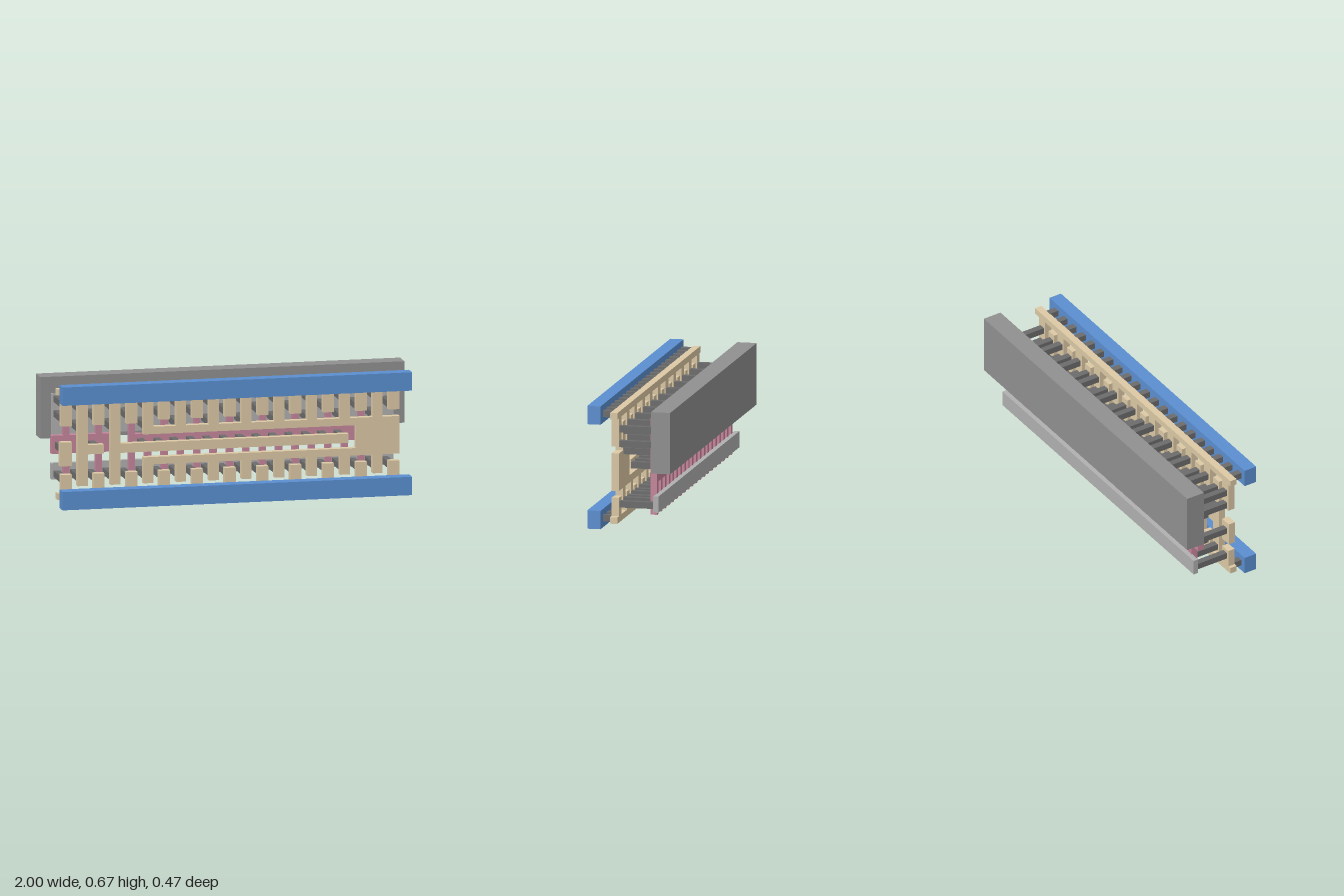
import * as THREE from 'three';

const paint = (color) => new THREE.MeshStandardMaterial({ color });

export function createModel() {
  const model = new THREE.Group();
  const blue = paint(0x5b8fd0), tan = paint(0xdcc9a6), pink = paint(0xc6869b);
  const dark = paint(0x6c6c6c), grey = paint(0x909090), light = paint(0xb0b0b0);

  const layer = (name) => {
    const g = new THREE.Group();
    g.name = name;
    model.add(g);
    return g;
  };
  // box given by its limits on each axis
  const slab = (parent, name, mat, x0, x1, y0, y1, z0, z1) => {
    const m = new THREE.Mesh(new THREE.BoxGeometry(x1 - x0, y1 - y0, z1 - z0), mat);
    m.position.set((x0 + x1) / 2, (y0 + y1) / 2, (z0 + z1) / 2);
    m.name = name;
    parent.add(m);
  };

  // base slabs at the back
  const base = layer('base');
  slab(base, 'backBlock', grey, -1, 1, 0.325, 0.66, -0.233, -0.127);
  slab(base, 'upperStrip', light, -0.94, 0.94, 0.345, 0.57, -0.153, -0.125);
  slab(base, 'lowerStrip', light, -0.94, 0.94, 0.1, 0.188, -0.153, -0.125);

  // comb of vertical gate fingers with their joining plates
  const gates = layer('gates');
  const gate = (name, x0, x1, y0, y1) => slab(gates, name, pink, x0, x1, y0, y1, -0.128, -0.091);
  for (let i = 0; i < 20; i++) {
    const x = -0.865 + i * 0.09;
    gate('gateFinger', x - 0.017, x + 0.017, 0.073, 0.597);
  }
  gate('firstGatePlate', -0.945, -0.758, 0.245, 0.345);
  gate('secondGatePlate', -0.748, -0.578, 0.245, 0.345);
  gate('mainGatePlate', -0.522, 0.862, 0.25, 0.335);

  // wiring plane, contacts behind it and vias in front of it
  const wiring = layer('wiring'), contacts = layer('contacts'), vias = layer('vias');
  const wire = (name, x0, x1, y0, y1) => slab(wiring, name, tan, x0, x1, y0, y1, 0.068, 0.108);
  const contact = (x, y, back = -0.126) =>
    slab(contacts, 'contact', dark, x - 0.0175, x + 0.0175, y - 0.0175, y + 0.0175, back, 0.07);

  wire('lowerSupply', -0.96, 0.96, 0.033, 0.068);
  wire('upperSupply', -0.96, 0.96, 0.602, 0.637);

  for (let i = 0; i <= 20; i++) {
    const x = -0.91 + i * 0.09;
    for (const y of [0.0505, 0.6195])
      slab(vias, 'via', dark, x - 0.0175, x + 0.0175, y - 0.0175, y + 0.0175, 0.106, 0.162);
    if (i % 2 === 0) {
      // supply teeth
      const end = i < 6 ? 0.432 : 0.447;
      wire('upperTooth', x - 0.03, x + 0.03, end, 0.602);
      wire('lowerTooth', x - 0.03, x + 0.03, 0.068, 0.168);
      [0.1305, 0.4595, 0.5405].forEach((y) => contact(x, y));
    } else {
      // output fingers: the first two are full columns
      if (i < 4) wire('column', x - 0.028, x + 0.028, 0.103, 0.567);
      else {
        wire('upperFinger', x - 0.027, x + 0.027, 0.41, 0.567);
        wire('lowerFinger', x - 0.027, x + 0.027, 0.103, 0.205);
      }
      [0.1345, 0.4045, 0.5155].forEach((y) => contact(x, y));
    }
  }

  // horizontal runs of the wiring
  wire('inputPad', -0.945, -0.88, 0.215, 0.345);
  wire('firstLink', -0.792, -0.705, 0.275, 0.325);
  wire('longBar', -0.612, 0.64, 0.275, 0.325);
  wire('upperOutputBar', -0.487, 0.68, 0.37, 0.41);
  wire('lowerOutputBar', -0.487, 0.68, 0.205, 0.245);
  wire('outputBlock', 0.68, 0.92, 0.205, 0.41);

  // contacts onto the gate plates
  contact(-0.91, 0.293, -0.1285);
  contact(-0.73, 0.293, -0.1285);
  for (let i = 0; i < 13; i++) contact(-0.46 + i * 0.09, 0.293, -0.1285);

  // front rails
  const rails = layer('rails');
  slab(rails, 'lowerRail', blue, -0.96, 0.96, 0, 0.1, 0.16, 0.233);
  slab(rails, 'upperRail', blue, -0.96, 0.96, 0.57, 0.67, 0.16, 0.233);

  return model;
}
